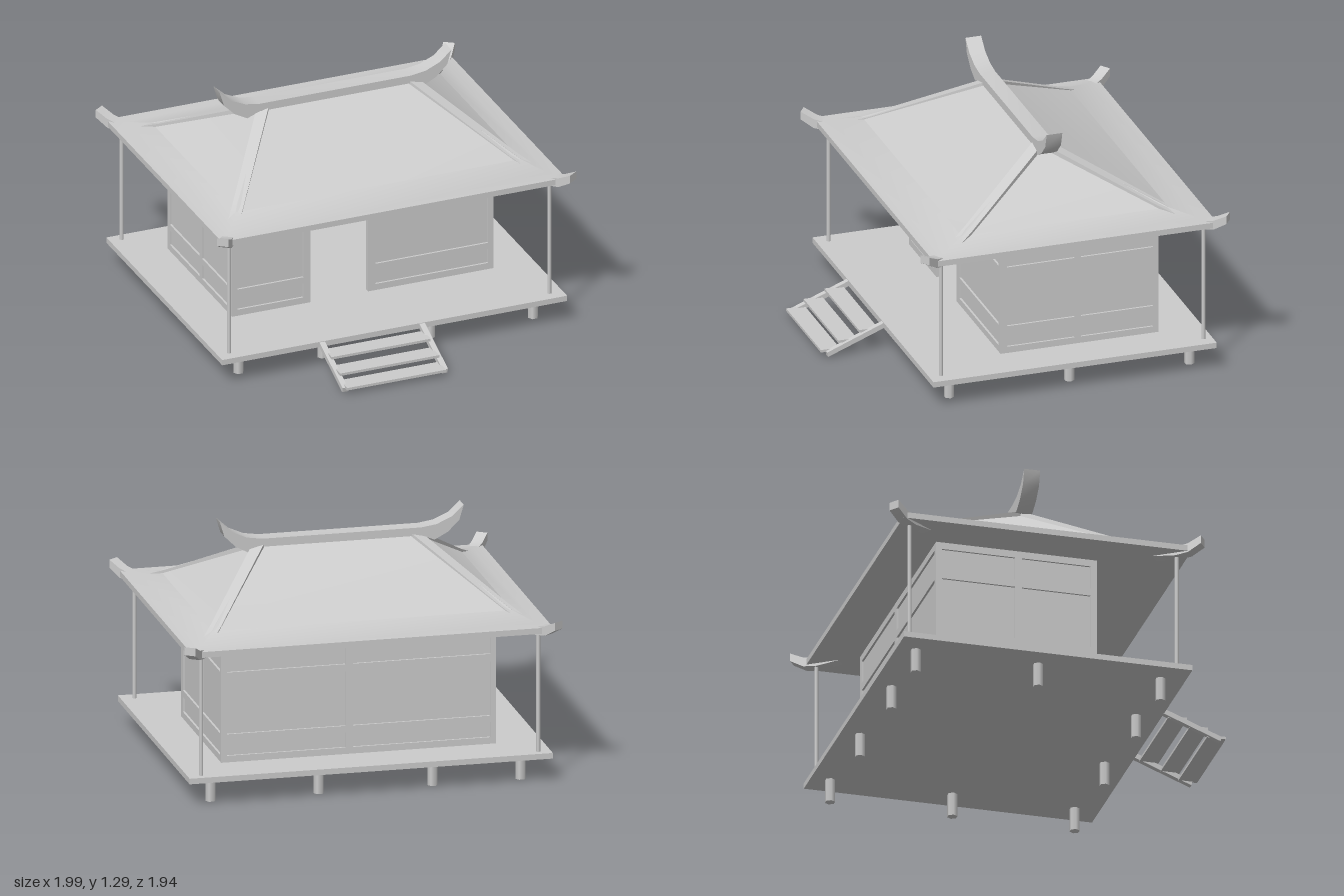
import * as THREE from 'three';
import { toCreasedNormals } from 'three/addons/utils/BufferGeometryUtils.js';

const grey = new THREE.MeshStandardMaterial({ color: 0xcccccc });
const CZ = -0.13; // middle of the house in z

function add(parent, name, geometry, x = 0, y = 0, z = 0, ry = 0) {
  const mesh = new THREE.Mesh(geometry, grey);
  mesh.name = name;
  mesh.position.set(x, y, z);
  mesh.rotation.y = ry;
  parent.add(mesh);
  return mesh;
}

// box given by its limits
function block(parent, name, x0, x1, y0, y1, z0, z1) {
  return add(parent, name, new THREE.BoxGeometry(x1 - x0, y1 - y0, z1 - z0),
    (x0 + x1) / 2, (y0 + y1) / 2, (z0 + z1) / 2);
}

const shapeOf = (pts) => new THREE.Shape(pts.map((p) => new THREE.Vector2(...p)));
const rect = (x0, x1, y0, y1) => [[x0, y0], [x1, y0], [x1, y1], [x0, y1]];

// side profile extruded to a width centred on z = 0
function slab(shape, width) {
  const g = new THREE.ExtrudeGeometry(shape, { depth: width, bevelEnabled: false });
  return toCreasedNormals(g.translate(0, 0, -width / 2), 0.6);
}

// timber frame with recessed panels; openings are [x0, x1, y0, y1]
function wall(parent, name, outline, openings) {
  const group = new THREE.Group();
  group.name = name;
  const shape = shapeOf(outline);
  for (const o of openings) {
    shape.holes.push(new THREE.Path(rect(...o).map((p) => new THREE.Vector2(...p))));
    block(group, 'panel', o[0], o[1], o[2], o[3], -0.004, 0.004);
  }
  add(group, 'frame', slab(shape, 0.03));
  parent.add(group);
  return group;
}

const ROWS = [[0.19, 0.27], [0.305, 0.595], [0.635, 0.76]];
const bay = (x0, x1) => ROWS.map((r) => [x0, x1, ...r]);

// hipped roof from rectangular rings [half x, half z, y]
function roofGeometry(rings) {
  const pos = [];
  const index = [];
  for (const [x, z, y] of rings) {
    pos.push(x, y, z, x, y, -z, -x, y, -z, -x, y, z);
  }
  index.push(0, 2, 1, 0, 3, 2);
  for (let r = 0; r < rings.length - 1; r++) {
    for (let i = 0; i < 4; i++) {
      const a = r * 4 + i, b = r * 4 + (i + 1) % 4;
      index.push(a, b, b + 4);
      if (r < rings.length - 2 || i % 2) index.push(a, b + 4, a + 4);
    }
  }
  const g = new THREE.BufferGeometry();
  g.setAttribute('position', new THREE.Float32BufferAttribute(pos, 3));
  g.setIndex(index);
  return toCreasedNormals(g, 0.5);
}

export function createModel() {
  const model = new THREE.Group();
  model.name = 'house';

  // deck on short piles
  block(model, 'deck', -0.955, 0.96, 0.125, 0.155, -0.892, 0.64);
  const pile = new THREE.CylinderGeometry(0.027, 0.027, 0.125, 6).rotateY(Math.PI / 6);
  for (const x of [-0.81, -0.345, 0.255, 0.825]) {
    for (const z of [0.51, -0.79]) add(model, 'pile', pile, x, 0.0625, z);
  }
  for (const x of [-0.81, 0.825]) add(model, 'pile', pile, x, 0.0625, -0.14);

  // veranda posts
  const post = new THREE.CylinderGeometry(0.011, 0.011, 0.65, 8);
  for (const x of [-0.89, 0.888]) {
    for (const z of [0.575, -0.845]) add(model, 'post', post, x, 0.48, z);
  }

  // front wall with the open doorway
  const front = [[-0.715, 0.155], [-0.28, 0.155], [-0.28, 0.595], [0.04, 0.595],
    [0.04, 0.155], [0.735, 0.155], [0.735, 0.8], [-0.715, 0.8]];
  wall(model, 'frontWall', front, [...bay(-0.685, -0.32).slice(0, 2),
    [-0.685, 0.04, ...ROWS[2]], ...bay(0.08, 0.705)]).position.z = 0.185;

  // back wall
  wall(model, 'backWall', rect(-0.715, 0.735, 0.155, 0.8),
    [...bay(-0.685, 0.04), ...bay(0.08, 0.705)]).position.z = -0.64;

  // side walls, drawn along -z
  for (const x of [-0.7, 0.72]) {
    const side = wall(model, 'sideWall', rect(-0.2, 0.655, 0.155, 0.8),
      [...bay(-0.165, 0.2), ...bay(0.235, 0.625)]);
    side.rotation.y = Math.PI / 2;
    side.position.x = x;
  }

  // roof
  add(model, 'roof', roofGeometry([[0.955, 0.765, 0.797], [0.955, 0.765, 0.828],
    [0.885, 0.69, 0.835], [0.79, 0.56, 0.872], [0.4, 0, 1.16]]), 0, 0, CZ);

  // ridge beam with upturned ends
  const half = [[0.42, 1.145], [0.49, 1.118], [0.56, 1.155], [0.62, 1.215],
    [0.643, 1.293], [0.58, 1.235], [0.5, 1.2], [0.42, 1.188]];
  const mirrored = half.map(([x, y]) => [-x, y]).reverse();
  add(model, 'ridgeBeam', slab(shapeOf([...half, ...mirrored]), 0.085), -0.02, 0, CZ);

  // curved hip beams running to the corners
  const hip = slab(shapeOf([[-0.02, 1.13], [0.63, 0.84], [0.74, 0.795], [0.86, 0.782],
    [0.93, 0.79], [1.0, 0.83], [1.0, 0.873], [0.93, 0.84], [0.86, 0.826],
    [0.76, 0.84], [0.63, 0.89], [-0.02, 1.178]]), 0.06);
  for (const sx of [-1, 1]) {
    for (const sz of [-1, 1]) {
      add(model, 'hipBeam', hip, sx * 0.4, 0, CZ, Math.atan2(-sz * 0.81, sx * 0.565));
    }
  }

  // front steps: two sloping stringers and three treads
  const stringer = slab(shapeOf([[0.635, 0.125], [0.94, 0.005], [0.945, 0.03],
    [0.64, 0.152]]), 0.03).rotateY(-Math.PI / 2);
  for (const x of [-0.4, 0.155]) add(model, 'stringer', stringer, x);
  [[0.922, 0.033], [0.828, 0.073], [0.715, 0.115]].forEach(([z, y]) =>
    block(model, 'tread', -0.4, 0.15, y - 0.007, y + 0.007, z - 0.05, z + 0.05));

  return model;
}
